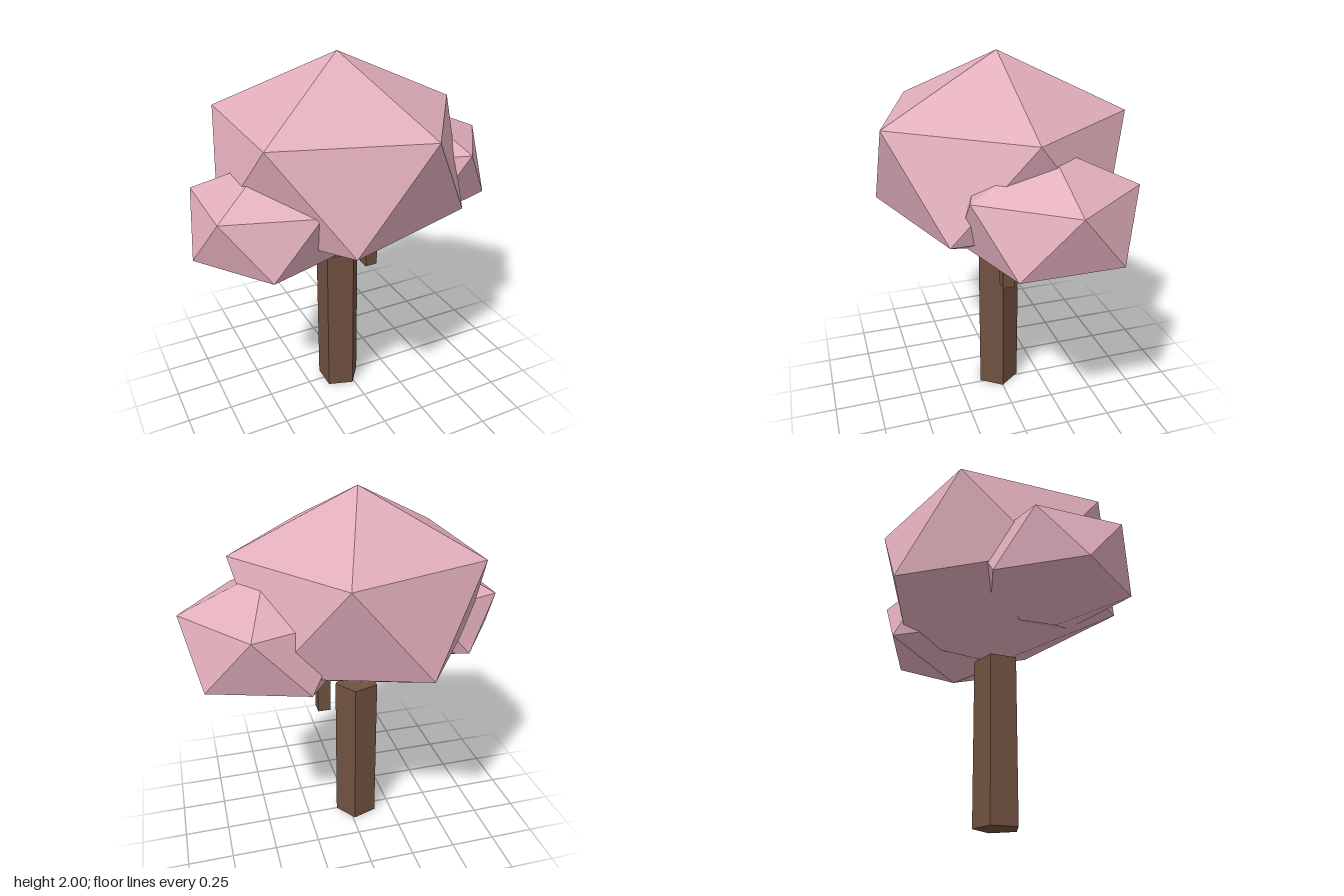
import * as THREE from 'three';

export function createModel() {
  const blossom = new THREE.MeshStandardMaterial({ color: 0xe0adba, flatShading: true });
  blossom.name = 'blossom pink';
  const bark = new THREE.MeshStandardMaterial({ color: 0x6f5140, flatShading: true });
  bark.name = 'bark brown';

  const tree = new THREE.Group();
  tree.name = 'tree';

  function add(name, geometry, material, x, y, z) {
    const mesh = new THREE.Mesh(geometry, material);
    mesh.name = name;
    mesh.position.set(x, y, z);
    tree.add(mesh);
  }

  // Squashed icosahedron standing on a corner, upper ring pointing to +x
  const tilt = Math.atan(2 / (1 + Math.sqrt(5)));
  function crown(name, radius, halfHeight, x, y, z) {
    const geometry = new THREE.IcosahedronGeometry(1, 0);
    geometry.rotateZ(-tilt);
    geometry.scale(radius, halfHeight, radius);
    geometry.computeVertexNormals();
    add(name, geometry, blossom, x, y, z);
  }

  // Foliage
  crown('mainCrown', 0.749, 0.555, -0.05, 1.445, 0);
  crown('rightCrown', 0.444, 0.311, -0.5, 1.245, 0.147);
  crown('leftCrown', 0.492, 0.345, 0.45, 1.295, -0.1);

  // Five-sided trunk with a corner towards +x
  const trunk = new THREE.CylinderGeometry(0.124, 0.124, 0.895, 5);
  trunk.rotateY(Math.PI / 2);
  add('trunk', trunk, bark, -0.05, 0.4475, 0);

  // Small branch hanging below the left crown
  add('branch', new THREE.BoxGeometry(0.072, 0.37, 0.07), bark, 0.148, 0.935, 0);

  return tree;
}
